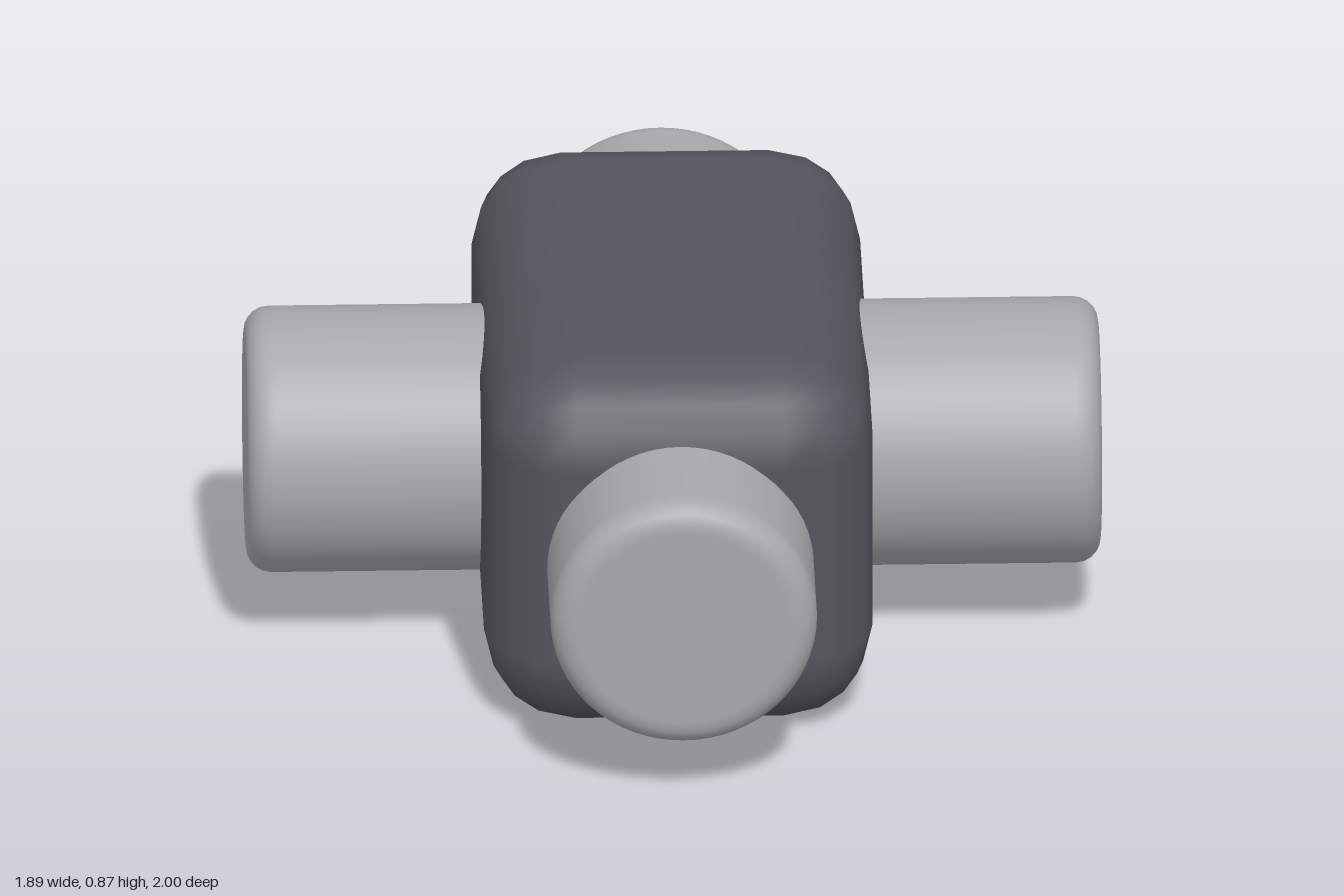
import * as THREE from 'three';
import { RoundedBoxGeometry } from 'three/addons/geometries/RoundedBoxGeometry.js';

const CENTER_Y = 0.433;

// Solid round bar along y with softly rounded rims
function barGeometry(halfLength, radius, bevel) {
  const top = [];
  const steps = 5;
  top.push([radius, halfLength - bevel - 0.01]);
  for (let i = 0; i <= steps; i++) {
    const a = (i / steps) * Math.PI / 2;
    top.push([radius - bevel + bevel * Math.cos(a), halfLength - bevel + bevel * Math.sin(a)]);
  }
  top.push([radius - bevel - 0.01, halfLength], [0, halfLength]);
  const bottom = top.map(([r, y]) => [r, -y]).reverse();
  const points = [...bottom, ...top].map(([r, y]) => new THREE.Vector2(r, y));
  return new THREE.LatheGeometry(points, 64);
}

export function createModel() {
  const model = new THREE.Group();
  const darkGrey = new THREE.MeshStandardMaterial({ color: 0x53565d });
  darkGrey.name = 'dark grey';
  const lightGrey = new THREE.MeshStandardMaterial({ color: 0xa6a8ab });
  lightGrey.name = 'light grey';

  // Rounded block
  const body = new THREE.Mesh(new RoundedBoxGeometry(0.86, 0.866, 1.4, 2, 0.2), darkGrey);
  body.name = 'body';
  body.position.y = CENTER_Y;
  model.add(body);

  // Crossing bars that stick out of all four sides
  const sideBar = new THREE.Mesh(barGeometry(0.945, 0.295, 0.055), lightGrey);
  sideBar.name = 'sideBar';
  sideBar.rotation.z = Math.PI / 2;
  const lengthBar = new THREE.Mesh(barGeometry(1, 0.295, 0.055), lightGrey);
  lengthBar.name = 'lengthBar';
  lengthBar.rotation.x = Math.PI / 2;
  for (const bar of [sideBar, lengthBar]) {
    bar.position.y = CENTER_Y;
    model.add(bar);
  }
  return model;
}
